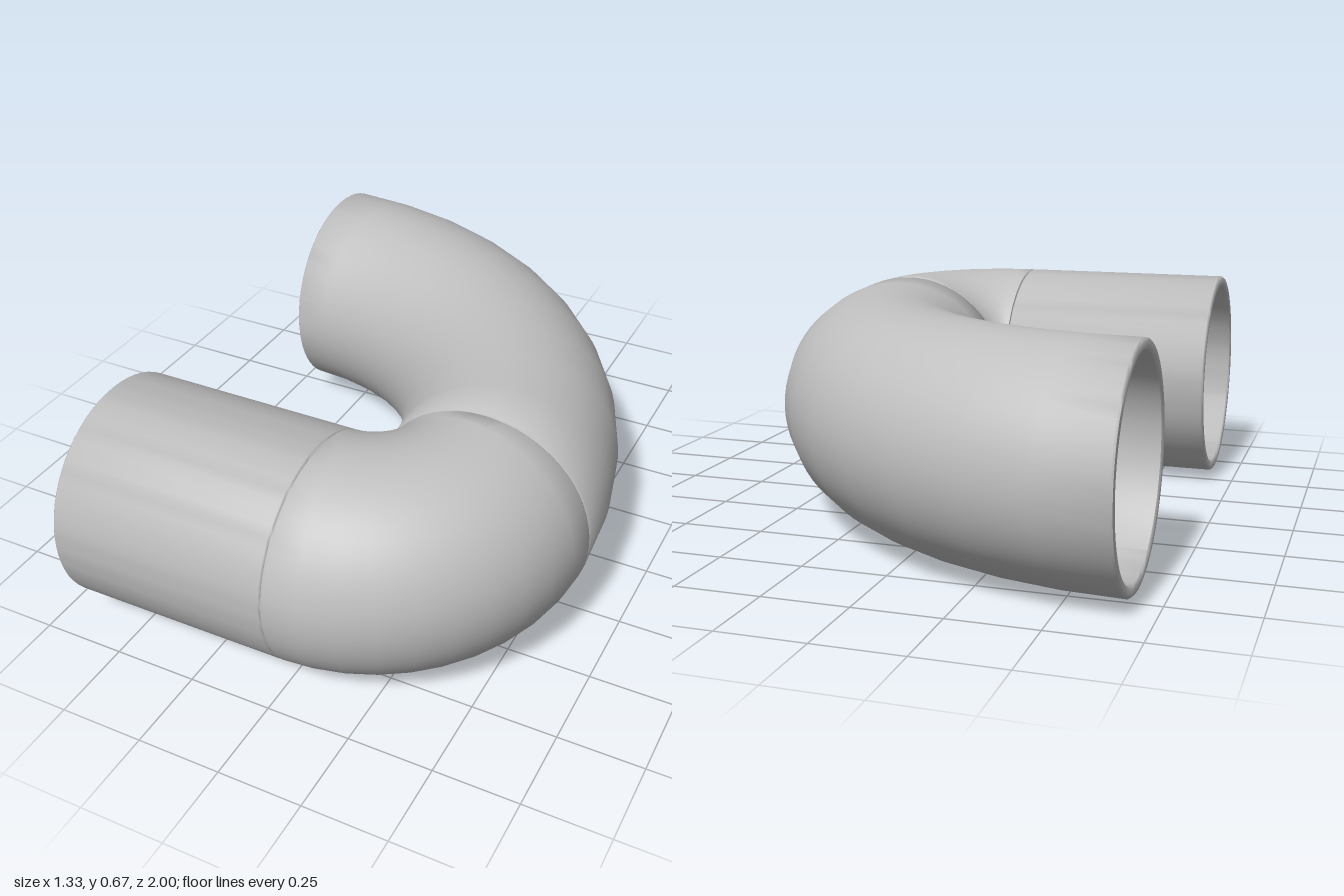
import * as THREE from 'three';
import { toCreasedNormals } from 'three/addons/utils/BufferGeometryUtils.js';

const OUTER = 1 / 3;   // outer pipe radius
const INNER = 0.3;     // bore radius
const EDGE = 0.005;    // tiny chamfer on every pipe end
const SIDES = 64;

// Path frames: centre point and sideways direction at distance s along the pipe
const straight = (x0, z) => (s) => ({
  c: new THREE.Vector3(x0 + s, OUTER, z),
  o: new THREE.Vector3(0, 0, 1),
});
const bend = (px, pz, radius, startAngle) => (s) => {
  const a = startAngle + s / radius;
  const o = new THREE.Vector3(Math.sin(a), 0, Math.cos(a));
  return { c: new THREE.Vector3(px, OUTER, pz).addScaledVector(o, radius), o };
};

// Hollow pipe: a closed wall profile of [distance, radius] swept around the path
function pipeGeometry(frame, length, steps) {
  const profile = [[0, OUTER - EDGE], [EDGE, OUTER]];
  for (let i = 1; i < steps; i++) profile.push([(length * i) / steps, OUTER]);
  profile.push([length - EDGE, OUTER], [length, OUTER - EDGE]);
  profile.push([length, INNER + EDGE], [length - EDGE, INNER]);
  for (let i = steps - 1; i > 0; i--) profile.push([(length * i) / steps, INNER]);
  profile.push([EDGE, INNER], [0, INNER + EDGE]);

  const positions = [];
  const index = [];
  const rows = profile.length;
  for (const [s, r] of profile) {
    const { c, o } = frame(s);
    for (let j = 0; j < SIDES; j++) {
      const t = (j / SIDES) * Math.PI * 2;
      const p = c.clone().addScaledVector(o, r * Math.cos(t));
      positions.push(p.x, p.y + r * Math.sin(t), p.z);
    }
  }
  for (let i = 0; i < rows; i++) {
    for (let j = 0; j < SIDES; j++) {
      const a = i * SIDES + j;
      const b = ((i + 1) % rows) * SIDES + j;
      const d = i * SIDES + ((j + 1) % SIDES);
      const e = ((i + 1) % rows) * SIDES + ((j + 1) % SIDES);
      index.push(a, b, d, b, e, d);
    }
  }
  const geometry = new THREE.BufferGeometry();
  geometry.setAttribute('position', new THREE.Float32BufferAttribute(positions, 3));
  geometry.setIndex(index);
  return toCreasedNormals(geometry, 0.9);
}

export function createModel() {
  const group = new THREE.Group();
  group.name = 'pipeBend';
  const grey = new THREE.MeshStandardMaterial({ color: 0xc0c0c0 });
  grey.name = 'light grey';

  const add = (name, frame, length, steps) => {
    const mesh = new THREE.Mesh(pipeGeometry(frame, length, steps), grey);
    mesh.name = name;
    group.add(mesh);
  };

  // Straight run, tight elbow, then wide sweep back
  add('straightPipe', straight(-2 / 3, 2 / 3), 2 / 3, 1);
  add('tightElbow', bend(0, 1 / 3, 1 / 3, 0), Math.PI / 6, 10);
  add('wideBend', bend(-2 / 3, 1 / 3, 1, Math.PI / 2), Math.PI / 2, 10);
  return group;
}
